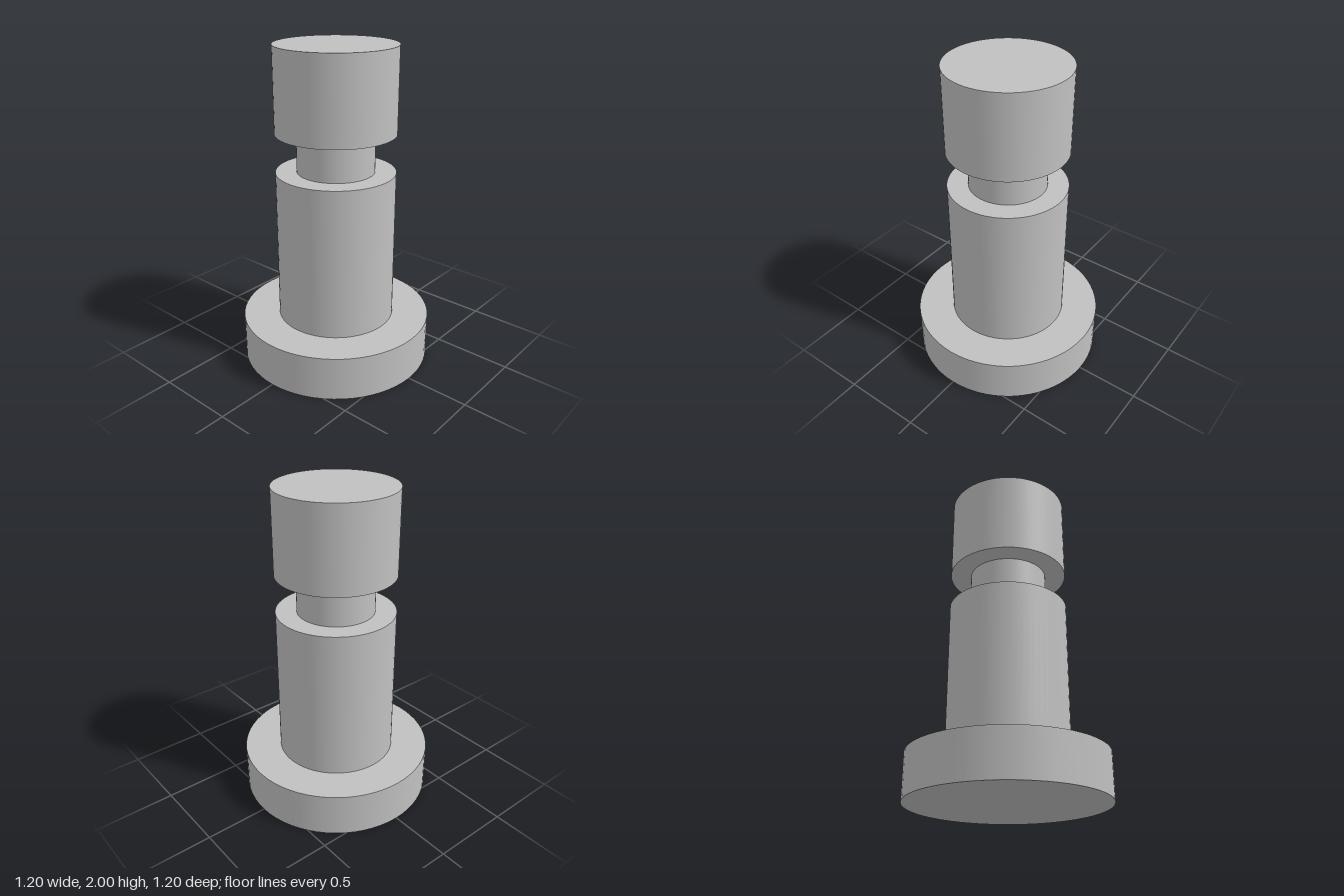
import * as THREE from 'three';

const SIDES = 64;

export function createModel() {
  const model = new THREE.Group();
  model.name = 'groovedPin';

  const steel = new THREE.MeshStandardMaterial({ color: 0xc0c0c0 });
  steel.name = 'light grey steel';

  // One turned section of the pin, from height y0 to y1
  function addSection(name, radius, y0, y1) {
    const geometry = new THREE.CylinderGeometry(radius, radius, y1 - y0, SIDES);
    const mesh = new THREE.Mesh(geometry, steel);
    mesh.name = name;
    mesh.position.y = (y0 + y1) / 2;
    model.add(mesh);
  }

  addSection('baseFlange', 0.6, 0, 0.28);
  addSection('shaft', 0.37, 0.28, 1.235);
  addSection('grooveNeck', 0.24, 1.235, 1.475);
  addSection('head', 0.37, 1.475, 2);

  return model;
}
